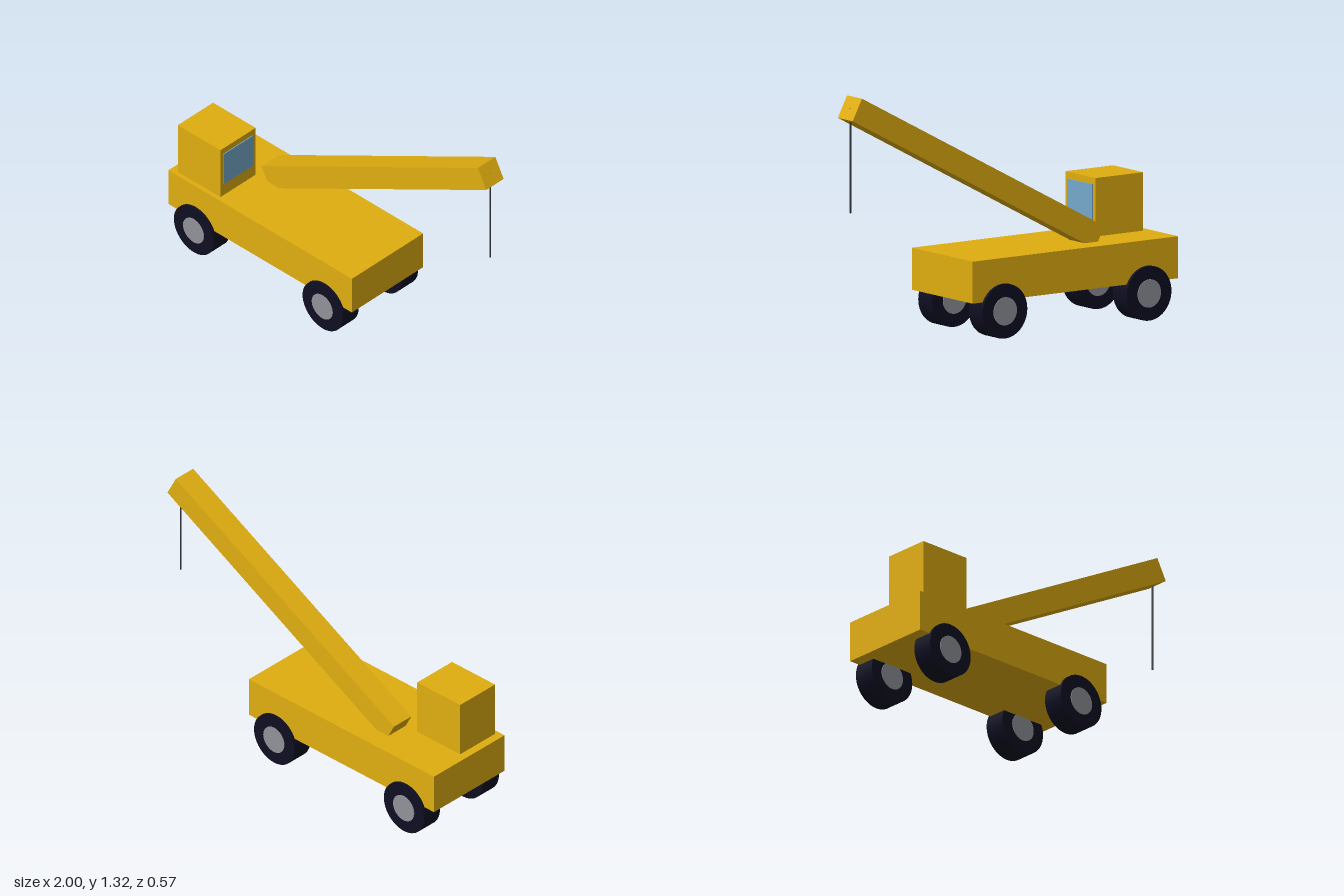
import * as THREE from 'three';

const paint = (name, color) => {
  const m = new THREE.MeshStandardMaterial({ color });
  m.name = name;
  return m;
};

export function createModel() {
  const yellow = paint('yellow paint', 0xe0ad10);
  const rubber = paint('rubber', 0x0e0e22);
  const steel = paint('hub steel', 0x909299);
  const glass = paint('glass', 0x77aacc);
  const wire = paint('cable', 0x333338);

  const crane = new THREE.Group();
  crane.name = 'craneTruck';

  const add = (parent, name, geometry, material, x, y, z) => {
    const mesh = new THREE.Mesh(geometry, material);
    mesh.name = name;
    mesh.position.set(x, y, z);
    parent.add(mesh);
    return mesh;
  };

  // Chassis and offset cab
  add(crane, 'chassis', new THREE.BoxGeometry(1.315, 0.22, 0.53), yellow, -0.3425, 0.31, 0);
  add(crane, 'cab', new THREE.BoxGeometry(0.305, 0.307, 0.262), yellow, -0.8025, 0.5725, 0.11);
  add(crane, 'cabWindow', new THREE.BoxGeometry(0.008, 0.196, 0.22), glass, -0.649, 0.593, 0.112);

  // Sloping boom with the hoist cable hanging from its tip
  const boom = add(crane, 'boom', new THREE.BoxGeometry(1.756, 0.127, 0.13), yellow, 0.195, 0.853, -0.0875);
  boom.rotation.z = THREE.MathUtils.degToRad(28);
  add(crane, 'hoistCable', new THREE.CylinderGeometry(0.0045, 0.0045, 0.55, 12), wire, 0.967, 0.991, -0.0875);

  // Four wheels, with hubs showing on both faces
  const tireGeometry = new THREE.CylinderGeometry(0.143, 0.143, 0.12, 48).rotateX(Math.PI / 2);
  const hubGeometry = new THREE.CylinderGeometry(0.074, 0.074, 0.128, 40).rotateX(Math.PI / 2);
  for (const x of [-0.802, 0.12]) {
    for (const side of [1, -1]) {
      const wheel = new THREE.Group();
      wheel.name = `${x < 0 ? 'rear' : 'front'}Wheel${side > 0 ? 'Near' : 'Far'}`;
      wheel.position.set(x, 0.143, side * 0.221);
      add(wheel, 'tire', tireGeometry, rubber, 0, 0, 0);
      add(wheel, 'hub', hubGeometry, steel, 0, 0, 0);
      crane.add(wheel);
    }
  }
  return crane;
}
